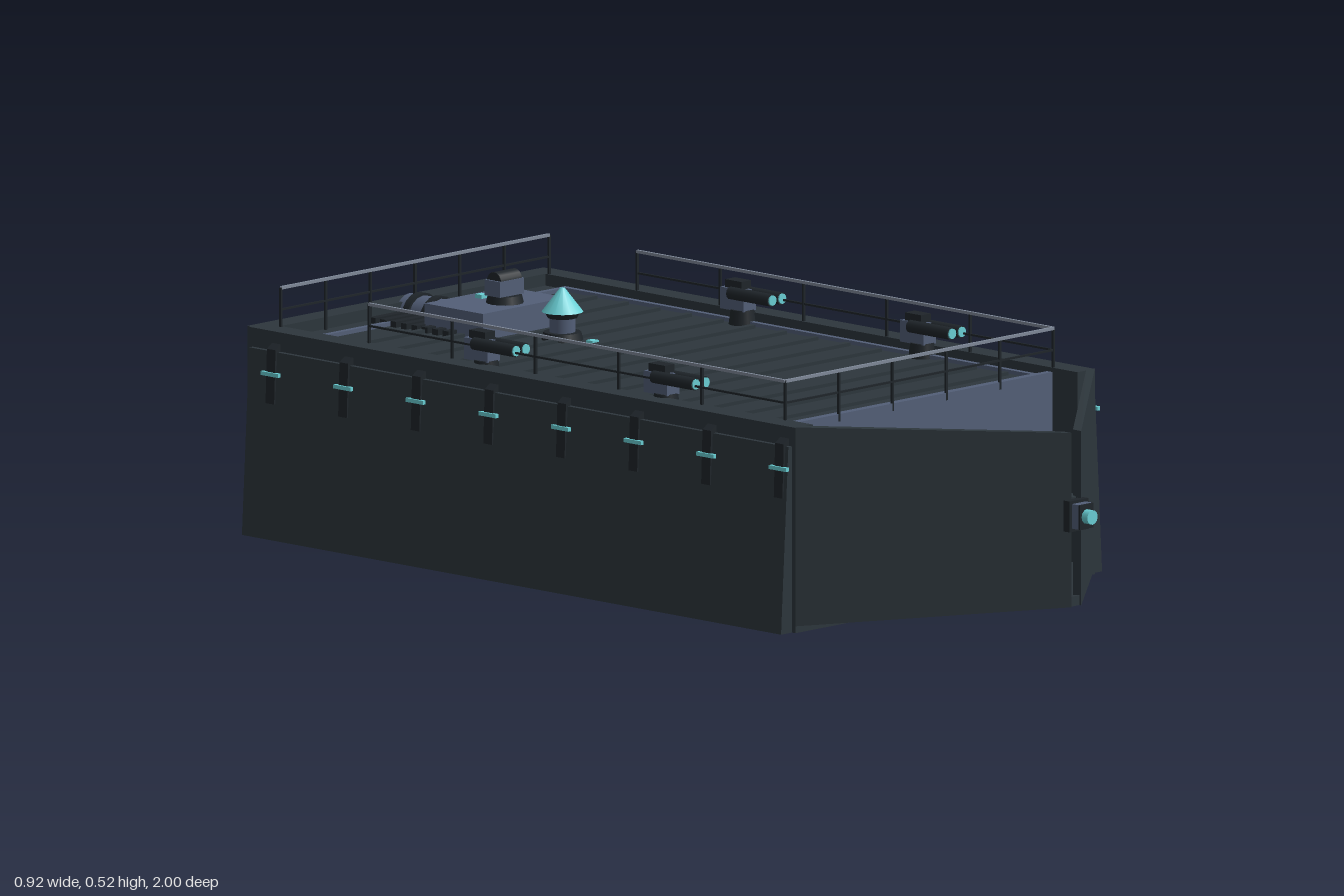
import * as THREE from 'three';
import { ConvexGeometry } from 'three/addons/geometries/ConvexGeometry.js';

const mat = (name, color) => Object.assign(new THREE.MeshStandardMaterial({ color }), { name });

export function createModel() {
  const root = new THREE.Group();
  root.name = 'armouredBarge';
  const hull = mat('hullSlate', 0x2d363c);
  const dark = mat('darkMetal', 0x1f252a);
  const steel = mat('blueSteel', 0x535f78);
  const rail = mat('railGrey', 0x808a9a);
  const glow = mat('cyanGlow', 0x6ad0d6);

  const add = (name, geo, material, parent = root) => {
    const m = new THREE.Mesh(geo, material);
    m.name = name;
    parent.add(m);
    return m;
  };
  // Box given by its limits
  const box = (name, material, x0, x1, y0, y1, z0, z1, parent) => {
    const m = add(name, new THREE.BoxGeometry(x1 - x0, y1 - y0, z1 - z0), material, parent);
    m.position.set((x0 + x1) / 2, (y0 + y1) / 2, (z0 + z1) / 2);
    return m;
  };
  // Flat-sided solid from its corners, s mirrors it in x
  const solid = (name, material, pts, s = 1) =>
    add(name, new ConvexGeometry(pts.map(([x, y, z]) => new THREE.Vector3(x * s, y, z))), material);
  // Upright cylinder or cone
  const cyl = (name, material, rTop, rBottom, x, y0, y1, z, parent, sides = 16) => {
    const m = add(name, new THREE.CylinderGeometry(rTop, rBottom, y1 - y0, sides), material, parent);
    m.position.set(x, (y0 + y1) / 2, z);
    return m;
  };
  // Cylinder along z
  const cylZ = (name, material, rFront, rBack, x, y, z0, z1, parent, sides = 16) => {
    const m = add(name, new THREE.CylinderGeometry(rFront, rBack, z1 - z0, sides), material, parent);
    m.rotation.x = Math.PI / 2;
    m.position.set(x, y, (z0 + z1) / 2);
    return m;
  };

  // Hull body, raised rim and keel
  const deckY = 0.4;
  box('hullBody', hull, -0.4, 0.4, 0.02, deckY, -0.93, 0.51);
  box('bottomPlate', hull, -0.43, 0.43, 0.006, 0.03, -0.93, 0.59);
  box('sternWall', hull, -0.425, 0.425, 0.02, 0.424, -0.94, -0.89);
  box('keel', dark, -0.04, 0.04, 0, 0.02, -0.96, 0.63);
  box('frontBulkhead', steel, -0.38, 0.38, 0.03, 0.415, 0.505, 0.52);

  // Bow floor
  const floor = [];
  for (const s of [-1, 1])
    for (const t of [0, 0.02])
      floor.push([s * 0.43, 0.02 + t, 0.59], [s * 0.015, 0.05 + t, 0.95]);
  solid('bowFloor', hull, floor);

  // Tapered beam between the bow doors
  const beam = [];
  for (const s of [-1, 1])
    beam.push([s * 0.07, 0.32, 0.57], [s * 0.07, 0.19, 0.57], [s * 0.062, 0.31, 0.67],
      [s * 0.02, 0.27, 0.94], [s * 0.02, 0.2, 0.94]);
  solid('bowBeam', hull, beam);
  box('beamSupport', dark, -0.05, 0.05, 0.19, 0.32, 0.52, 0.58);
  box('bowSill', dark, -0.06, 0.06, 0.03, 0.15, 0.52, 0.6);

  // Nose lamp
  box('noseLampHousing', steel, -0.02, 0.02, 0.212, 0.262, 0.94, 0.98);
  box('noseLampBezel', dark, -0.027, 0.027, 0.205, 0.268, 0.945, 0.962);
  box('noseLampFace', dark, -0.02, 0.02, 0.212, 0.262, 0.98, 0.984);
  cylZ('noseLamp', glow, 0.015, 0.015, 0, 0.237, 0.98, 1, root, 12);

  for (const s of [-1, 1]) {
    // Hull side wall
    const a = s * 0.38, b = s * 0.43;
    box('sideWall', hull, Math.min(a, b), Math.max(a, b), 0.02, 0.424, -0.93, 0.59);

    // Bow door
    solid('bowDoor', hull, [
      [0.43, 0.02, 0.59], [0.43, 0.425, 0.59], [0.405, 0.02, 0.59], [0.405, 0.425, 0.59],
      [0.014, 0.05, 0.955], [0.014, 0.405, 0.955], [0.014, 0.05, 0.932], [0.014, 0.405, 0.932]], s);

    // Sloping side armour
    const armour = [];
    for (const z of [-0.92, 0.58])
      armour.push([0.428, 0.385, z], [0.44, 0.385, z], [0.461, 0.006, z], [0.43, 0.006, z]);
    solid('sideArmour', hull, armour, s);

    // Armour brackets and marker lights
    for (let i = 0; i < 8; i++) {
      const z = 0.56 - i * 0.202;
      solid('armourBracket', dark, [
        [0.43, 0.4, z - 0.012], [0.43, 0.4, z + 0.012], [0.445, 0.39, z - 0.012], [0.445, 0.39, z + 0.012],
        [0.449, 0.28, z - 0.012], [0.449, 0.28, z + 0.012], [0.43, 0.28, z - 0.012], [0.43, 0.28, z + 0.012]], s);
      const light = box('markerLight', glow, -0.004, 0.004, -0.004, 0.004, -0.024, 0.024);
      light.position.set(s * 0.447, 0.34, z);
    }

    // Twin-barrelled deck guns
    for (const z of [0.17, -0.33]) {
      const gun = new THREE.Group();
      gun.name = 'deckGun';
      gun.position.set(s * 0.368, 0, z);
      root.add(gun);
      cyl('gunBase', dark, 0.024, 0.028, 0, deckY, 0.43, 0, gun);
      box('gunBody', steel, -0.018, 0.018, 0.428, 0.472, -0.045, 0.02, gun);
      box('gunTop', dark, -0.014, 0.014, 0.472, 0.488, -0.035, 0.01, gun);
      for (const x of [-0.014, 0.014]) {
        cylZ('gunBarrel', dark, 0.013, 0.013, x, 0.462, -0.02, 0.095, gun, 12);
        cylZ('gunMuzzle', glow, 0.0105, 0.0105, x, 0.462, 0.094, 0.098, gun, 12);
      }
      box('gunSensor', glow, -0.007, 0.007, 0.45, 0.46, -0.05, -0.045, gun);
    }

    // Deck border strips
    box('deckBorder', steel, s * 0.368 - 0.006, s * 0.368 + 0.006, deckY, deckY + 0.008, -0.83, 0.49);
  }
  box('deckBorderFront', steel, -0.374, 0.374, deckY, deckY + 0.008, 0.478, 0.49);
  box('deckBorderBack', steel, -0.374, 0.374, deckY, deckY + 0.008, -0.83, -0.818);

  // Deck ribs
  for (let i = 0; i < 14; i++) {
    const z = 0.42 - i * 0.088;
    box('deckRib', hull, -0.35, 0.35, deckY, deckY + 0.007, z - 0.007, z + 0.007);
  }

  // Railings: straight run with top rail, middle rail and posts
  const railing = (x0, z0, x1, z1, spans) => {
    const len = Math.hypot(x1 - x0, z1 - z0);
    const run = new THREE.Group();
    run.name = 'railing';
    run.position.set((x0 + x1) / 2, 0, (z0 + z1) / 2);
    run.rotation.y = Math.atan2(z0 - z1, x1 - x0);
    root.add(run);
    box('topRail', rail, -len / 2, len / 2, 0.5, 0.506, -0.003, 0.003, run);
    box('middleRail', dark, -len / 2, len / 2, 0.457, 0.461, -0.002, 0.002, run);
    for (let i = 0; i <= spans; i++) {
      const x = -len / 2 + (len * i) / spans;
      box('railPost', dark, x - 0.0025, x + 0.0025, deckY, 0.503, -0.0025, 0.0025, run);
    }
  };
  railing(-0.385, 0.518, 0.385, 0.518, 5);
  railing(-0.385, -0.885, 0.385, -0.885, 6);
  for (const s of [-1, 1]) railing(s * 0.385, 0.518, s * 0.385, -0.64, 5);

  // Control house with a small sensor turret
  box('controlHouse', steel, -0.12, 0.12, deckY, 0.454, -0.742, -0.58);
  cyl('turretBase', dark, 0.034, 0.038, 0, 0.454, 0.47, -0.635);
  box('turretBody', steel, -0.035, 0.035, 0.47, 0.502, -0.658, -0.615);
  const hood = cyl('turretHood', dark, 0.02, 0.02, 0, -0.03, 0.03, 0);
  hood.rotation.z = Math.PI / 2;
  hood.position.set(0, 0.499, -0.636);
  box('houseLight', glow, -0.009, 0.009, 0.454, 0.462, -0.709, -0.691);

  // Beacon
  cyl('beaconFoot', dark, 0.038, 0.042, 0, deckY, 0.416, -0.475);
  cyl('beaconStem', steel, 0.026, 0.026, 0, 0.416, 0.45, -0.475);
  cyl('beaconCollar', dark, 0.036, 0.03, 0, 0.445, 0.457, -0.475);
  cyl('beaconCone', glow, 0.005, 0.042, 0, 0.457, 0.505, -0.475);
  box('deckLight', glow, -0.009, 0.009, deckY, 0.41, -0.4, -0.382);

  // Exhaust pipe and cooling grilles behind the house
  cylZ('exhaustPipe', steel, 0.042, 0.042, 0, 0.395, -0.9, -0.74);
  for (const z of [-0.77, -0.82, -0.87])
    cylZ('exhaustBand', dark, 0.047, 0.047, 0, 0.395, z - 0.008, z + 0.008);
  for (const s of [-1, 1])
    for (let i = 0; i < 8; i++) {
      const z = -0.66 - i * 0.029, x = s * 0.095;
      box('grilleSlat', dark, x - 0.05, x + 0.05, deckY, 0.412, z - 0.008, z + 0.008);
    }

  // Stern thrusters
  const bell = [[0.045, 0], [0.036, 0.012], [0.06, 0.065], [0.053, 0.065], [0.036, 0.02], [0, 0.02]];
  const bellMat = dark;
  for (const [x, y] of [[0, 0.315], [-0.185, 0.13], [0.185, 0.13]]) {
    const thruster = new THREE.Group();
    thruster.name = 'thruster';
    thruster.position.set(x, y, -0.935);
    thruster.rotation.x = -Math.PI / 2;
    root.add(thruster);
    const pts = bell.map(([r, h]) => new THREE.Vector2(r, h));
    add('thrusterBell', new THREE.LatheGeometry(pts, 24), bellMat, thruster);
    cyl('thrusterGlow', glow, 0.044, 0.038, 0, 0.022, 0.042, 0, thruster, 24);
  }
  return root;
}
